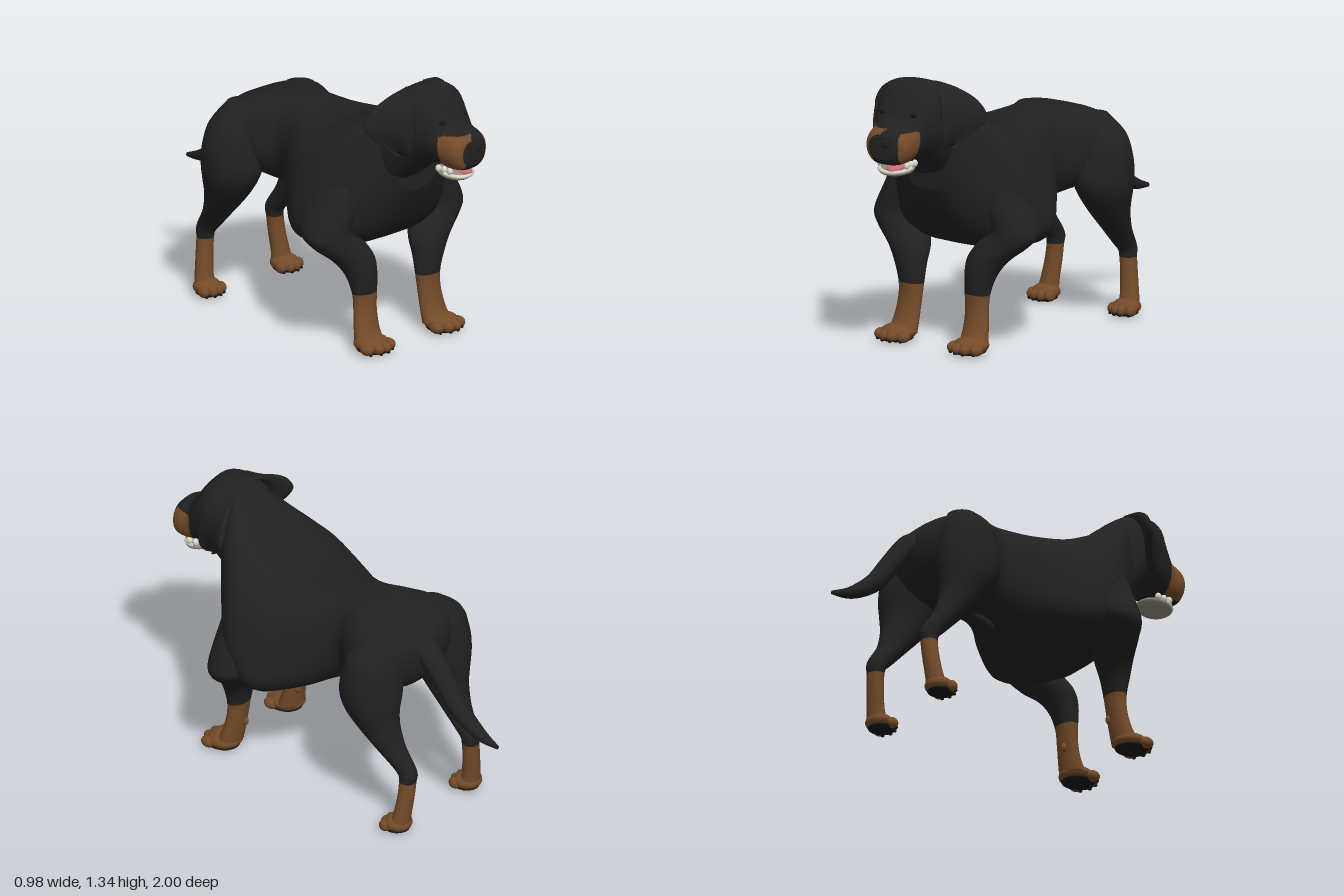
import * as THREE from 'three';

const mat = (name, color) => Object.assign(new THREE.MeshStandardMaterial({ color }), { name });

// Smoothly interpolates rows of numbers, steps rows per span
function refine(rows, steps) {
  const out = [];
  const at = i => rows[Math.max(0, Math.min(rows.length - 1, i))];
  for (let i = 0; i < rows.length - 1; i++) {
    for (let s = 0; s < steps; s++) {
      const t = s / steps, a = at(i - 1), b = at(i), c = at(i + 1), d = at(i + 2);
      out.push(b.map((v, k) => v + 0.5 * t * (c[k] - a[k] + t * (2 * a[k] - 5 * v + 4 * c[k] - d[k]
        + t * (3 * (v - c[k]) + d[k] - a[k])))));
    }
  }
  out.push(rows[rows.length - 1]);
  return out;
}

// Skins rings made from rows; pick(x, y, z) chooses the material of each face
function loft(name, rows, ring, mats, pick = () => 0, n = 32, steps = 5) {
  const secs = refine(rows, steps), pos = [], tris = [];
  for (const r of secs) for (let j = 0; j < n; j++) pos.push(...ring(r, j / n * Math.PI * 2));
  const idx = (i, j) => i * n + j % n;
  for (let i = 0; i < secs.length - 1; i++) for (let j = 0; j < n; j++) {
    const a = idx(i, j), b = idx(i, j + 1), c = idx(i + 1, j), d = idx(i + 1, j + 1);
    tris.push([a, b, d], [a, d, c]);
  }
  for (const [i, flip] of [[0, true], [secs.length - 1, false]]) {
    const mid = [0, 0, 0], m = pos.length / 3;
    for (let j = 0; j < n; j++) for (let k = 0; k < 3; k++) mid[k] += pos[idx(i, j) * 3 + k] / n;
    pos.push(...mid);
    for (let j = 0; j < n; j++) tris.push(flip ? [m, idx(i, j + 1), idx(i, j)] : [m, idx(i, j), idx(i, j + 1)]);
  }
  const P = i => new THREE.Vector3(pos[i * 3], pos[i * 3 + 1], pos[i * 3 + 2]);
  let volume = 0;
  for (const t of tris) volume += P(t[0]).dot(P(t[1]).cross(P(t[2])));
  const lists = mats.map(() => []);
  for (const t of tris) {
    const c = P(t[0]).add(P(t[1])).add(P(t[2])).divideScalar(3);
    lists[pick(c.x, c.y, c.z)].push(...(volume < 0 ? [t[0], t[2], t[1]] : t));
  }
  const g = new THREE.BufferGeometry();
  g.setAttribute('position', new THREE.Float32BufferAttribute(pos, 3));
  g.setIndex(lists.flat());
  let start = 0;
  lists.forEach((l, i) => { g.addGroup(start, l.length, i); start += l.length; });
  g.computeVertexNormals();
  const mesh = new THREE.Mesh(g, mats.length > 1 ? mats : mats[0]);
  mesh.name = name;
  return mesh;
}

// Upright ring for the trunk, flaring low down: row = [z, bottom, top, low width, high width]
const trunkRing = ([z, bot, top, lo, hi], a) => {
  const t = (1 - Math.cos(a)) / 2, s = Math.sin(a);
  return [Math.sign(s) * Math.pow(Math.abs(s), 0.65) * (hi + (lo - hi) * (1 - t) ** 3), bot + (top - bot) * t, z];
};
// Level ring for limbs: row = [y, x, z, x radius, z radius]
const limbRing = side => ([y, x, z, rx, rz], a) => [side * (x + rx * Math.cos(a)), y, z + rz * Math.sin(a)];

function blob(name, material, [x, y, z], [rx, ry, rz]) {
  const m = new THREE.Mesh(new THREE.SphereGeometry(1, 20, 14), material);
  m.name = name;
  m.position.set(x, y, z);
  m.scale.set(rx, ry, rz);
  return m;
}

export function createModel() {
  const coat = mat('black coat', 0x212121), tan = mat('tan fur', 0x744b29), dark = mat('dark pads', 0x161616);
  const white = mat('teeth', 0xdcd8cc), lip = mat('jaw grey', 0x8e897a), pink = mat('tongue', 0xc56b75);
  const dog = new THREE.Group();
  dog.name = 'dog';

  // Trunk from rump to throat
  const body = loft('body', [
    [-0.555, 0.83, 0.94, 0.05, 0.07], [-0.52, 0.74, 0.99, 0.12, 0.2], [-0.45, 0.68, 1.03, 0.18, 0.31],
    [-0.35, 0.65, 1.06, 0.22, 0.335], [-0.25, 0.64, 1.075, 0.23, 0.275], [-0.15, 0.62, 1.078, 0.2, 0.212],
    [-0.05, 0.58, 1.07, 0.27, 0.235], [0.05, 0.53, 1.06, 0.43, 0.3], [0.2, 0.485, 1.07, 0.61, 0.375],
    [0.33, 0.48, 1.12, 0.57, 0.4], [0.42, 0.5, 1.17, 0.5, 0.37], [0.5, 0.56, 1.235, 0.36, 0.3],
    [0.57, 0.67, 1.29, 0.25, 0.23], [0.63, 0.8, 1.3, 0.16, 0.16],
  ], trunkRing, [coat], undefined, 48);
  body.position.x = 0.01;
  dog.add(body);
  const sheath = blob('sheath', coat, [0.01, 0.61, -0.13], [0.03, 0.032, 0.075]);
  sheath.rotation.x = 0.5;
  dog.add(sheath);

  // Tail: row = [y, z, x radius, radius along the bend, tilt]
  dog.add(loft('tail', [
    [0.93, -0.44, 0.08, 0.06, 0.2], [0.9, -0.55, 0.068, 0.055, 0.65], [0.785, -0.65, 0.057, 0.05, 0.95],
    [0.65, -0.755, 0.048, 0.046, 0.8], [0.565, -0.885, 0.032, 0.03, 0.4], [0.537, -0.995, 0.008, 0.01, 0.1],
  ], ([y, z, rx, r, t], a) => [0.022 + rx * Math.cos(a), y + r * Math.sin(a) * Math.cos(t),
    z - r * Math.sin(a) * Math.sin(t)], [coat], undefined, 20));

  // Legs with tan socks and toed paws
  const sock = (x, y) => y < 0.285 ? 1 : 0;
  const foreRows = [
    [1.0, 0.21, 0.36, 0.06, 0.08], [0.87, 0.26, 0.365, 0.11, 0.12], [0.74, 0.305, 0.37, 0.125, 0.135],
    [0.605, 0.365, 0.385, 0.125, 0.12],
    [0.535, 0.315, 0.415, 0.14, 0.1], [0.46, 0.25, 0.45, 0.115, 0.085], [0.38, 0.22, 0.475, 0.087, 0.066],
    [0.285, 0.207, 0.485, 0.07, 0.047], [0.2, 0.21, 0.492, 0.066, 0.042], [0.11, 0.217, 0.51, 0.072, 0.046],
    [0.045, 0.222, 0.535, 0.08, 0.06]];
  const hindRows = [
    [1.02, 0.19, -0.39, 0.07, 0.07], [0.93, 0.22, -0.39, 0.145, 0.12], [0.82, 0.24, -0.39, 0.16, 0.145],
    [0.72, 0.25, -0.39, 0.15, 0.155],
    [0.64, 0.255, -0.4, 0.13, 0.14], [0.55, 0.25, -0.435, 0.1, 0.11], [0.45, 0.24, -0.5, 0.072, 0.078],
    [0.36, 0.228, -0.575, 0.05, 0.064], [0.32, 0.226, -0.602, 0.045, 0.05], [0.285, 0.228, -0.604, 0.043, 0.042],
    [0.2, 0.237, -0.6, 0.045, 0.04], [0.1, 0.25, -0.588, 0.05, 0.042], [0.04, 0.253, -0.575, 0.06, 0.05]];
  for (const side of [1, -1]) {
    const word = side > 0 ? 'left' : 'right';
    for (const [kind, rows, px, pz, w] of [['Front', foreRows, 0.228, 0.555, 1], ['Hind', hindRows, 0.253, -0.565, 0.8]]) {
      const leg = new THREE.Group();
      leg.name = word + kind + 'Leg';
      leg.add(loft('leg', rows, limbRing(side), [coat, tan], sock, 24));
      leg.add(blob('paw', tan, [side * px, 0.05, pz], [0.088 * w, 0.042, 0.085 * w]));
      leg.add(blob('sole', dark, [side * px, 0.022, pz + 0.012], [0.078 * w, 0.016, 0.085 * w]));
      for (let i = 0; i < 4; i++) {
        const u = (i - 1.5) * 0.047 * w, z = pz + (i % 3 ? 0.068 : 0.045) * w;
        leg.add(blob('toe', tan, [side * px + u, 0.04, z], [0.029 * w, 0.028, 0.04 * w]));
        leg.add(blob('claw', dark, [side * px + u, 0.022, z + 0.024 * w], [0.008, 0.01, 0.013]));
      }
      if (kind === 'Front') leg.add(blob('dewclaw', tan, [side * 0.19, 0.165, 0.46], [0.016, 0.025, 0.016]));
      dog.add(leg);
    }
  }

  // Head, turned slightly to its left
  const head = new THREE.Group(), parts = new THREE.Group();
  head.name = 'head';
  parts.name = 'headParts';
  head.position.set(-0.008, 0, 0.6);
  head.rotation.y = 0.13;
  parts.position.z = -0.6;
  head.add(parts);
  dog.add(head);
  // Tan cheeks leave a dark stripe over the nose and lips
  const cheek = (x, y, z) => {
    const right = x < -0.055 + 0.75 * Math.max(0, y - 1.08) - 0.4 * Math.max(0, 1.02 - y);
    const left = x > 0.08 && y < 1.135;
    return z > 0.868 && z < 0.988 && y < 1.15 && y > 0.968 && (right || left) ? 1 : 0;
  };
  parts.add(loft('skullAndMuzzle', [
    [0.5, 0.82, 1.2, 0.17, 0.17], [0.58, 0.83, 1.3, 0.19, 0.19], [0.66, 0.9, 1.343, 0.18, 0.195],
    [0.74, 0.965, 1.348, 0.16, 0.182], [0.8, 0.98, 1.322, 0.14, 0.162], [0.85, 0.98, 1.25, 0.13, 0.138],
    [0.89, 0.972, 1.185, 0.125, 0.126], [0.94, 0.972, 1.16, 0.12, 0.122], [0.975, 0.98, 1.142, 0.1, 0.105],
    [0.995, 1.005, 1.115, 0.06, 0.07],
  ], trunkRing, [coat, tan], cheek, 80, 8));
  parts.add(blob('nose', coat, [0.02, 1.085, 0.965], [0.055, 0.042, 0.036]));

  // Open mouth, dropping towards the front
  const mouth = new THREE.Group();
  mouth.name = 'mouth';
  mouth.position.set(0, 0.948, 0.87);
  mouth.rotation.x = 0.2;
  mouth.add(blob('lowerJaw', lip, [0, -0.006, 0], [0.092, 0.026, 0.085]));
  mouth.add(blob('tongue', pink, [0.015, 0.014, 0.018], [0.046, 0.018, 0.068]));
  const teeth = new THREE.Mesh(new THREE.TorusGeometry(0.083, 0.01, 8, 24, Math.PI), white);
  teeth.name = 'lowerTeeth';
  teeth.rotation.x = Math.PI / 2;
  teeth.position.y = 0.003;
  mouth.add(teeth);
  parts.add(mouth);

  for (const side of [1, -1]) {
    parts.add(blob('eye', dark, [side * 0.085, 1.205, 0.856], [0.02, 0.013, 0.016]));
    for (const z of [0.83, 0.865, 0.9]) parts.add(blob('tooth', white, [side * 0.076, 0.967, z], [0.014, 0.018, 0.016]));
    // Hanging ear: row = [y, front x, front z, back x, back z, half thickness]
    parts.add(loft('ear', [
      [1.33, 0.08, 0.69, 0.1, 0.63, 0.015], [1.305, 0.14, 0.73, 0.18, 0.605, 0.028],
      [1.25, 0.175, 0.758, 0.27, 0.575, 0.032], [1.17, 0.19, 0.77, 0.316, 0.565, 0.028],
      [1.1, 0.2, 0.768, 0.268, 0.61, 0.022], [1.05, 0.198, 0.758, 0.225, 0.66, 0.016], [1.03, 0.195, 0.73, 0.205, 0.69, 0.006],
    ], ([y, fx, fz, bx, bz, h], a) => {
      const l = Math.hypot(bx - fx, bz - fz), c = Math.cos(a) / 2, s = Math.sin(a) * h / l;
      // the flap bows in towards the skull between its edges
      const bow = 0.025 * Math.sin(a) ** 2;
      return [side * ((fx + bx) / 2 + (fx - bx) * c + (fz - bz) * s - bow), y, (fz + bz) / 2 + (fz - bz) * c - (fx - bx) * s - bow];
    }, [coat], undefined, 24));
  }
  return dog;
}
